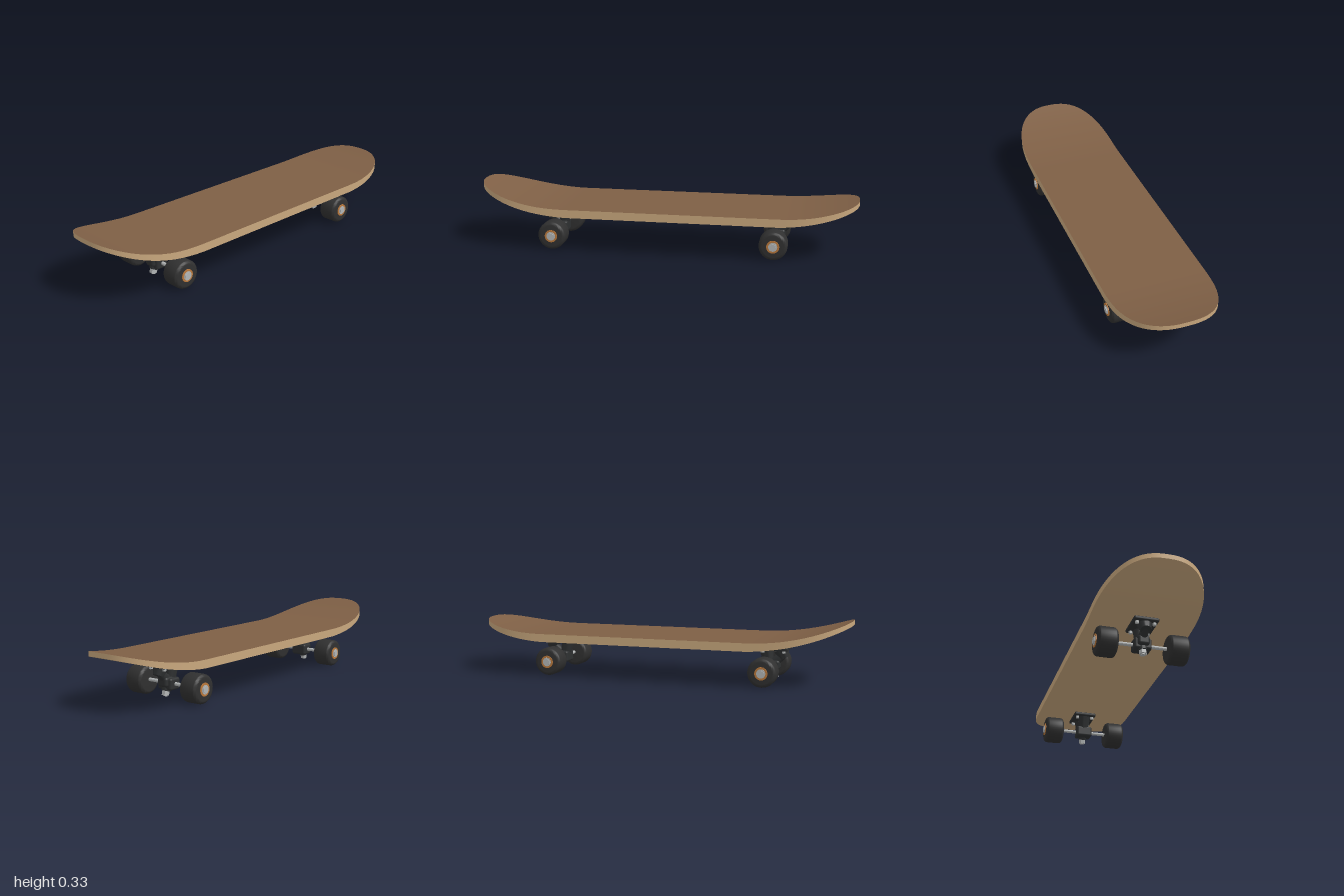
import * as THREE from 'three';
import { RoundedBoxGeometry } from 'three/addons/geometries/RoundedBoxGeometry.js';
import { toCreasedNormals } from 'three/addons/utils/BufferGeometryUtils.js';

const paint = (name, color) => {
  const m = new THREE.MeshStandardMaterial({ color });
  m.name = name;
  return m;
};

// Surface through rows x cols points given by at(row, col)
function gridSurface(rows, cols, at) {
  const pos = [], index = [];
  for (let i = 0; i < rows; i++) {
    for (let j = 0; j < cols; j++) {
      pos.push(...at(i, j));
      if (i < rows - 1 && j < cols - 1) {
        const a = i * cols + j, c = a + cols;
        index.push(a, a + 1, c, a + 1, c + 1, c);
      }
    }
  }
  const g = new THREE.BufferGeometry();
  g.setAttribute('position', new THREE.Float32BufferAttribute(pos, 3));
  g.setIndex(index);
  g.computeVertexNormals();
  return g;
}

export function createModel() {
  const model = new THREE.Group();
  const grip = paint('brown grip', 0x7e5f45);
  const wood = paint('light wood', 0xc8a77d);
  const black = paint('black metal', 0x2e3031);
  const rubber = paint('black rubber', 0x303030);
  const steel = paint('steel', 0xb2b5b5);
  const bronze = paint('orange bearing', 0xb9783c);

  const add = (parent, name, geometry, material, x = 0, y = 0, z = 0) => {
    const mesh = new THREE.Mesh(geometry, material);
    mesh.name = name;
    mesh.position.set(x, y, z);
    parent.add(mesh);
    return mesh;
  };
  // Cylinder between two points in a truck's xy plane
  const rod = (parent, name, material, a, b, r1, r2 = r1, sides = 24) => {
    const from = new THREE.Vector3(...a), to = new THREE.Vector3(...b);
    const dir = to.clone().sub(from);
    const geo = toCreasedNormals(new THREE.CylinderGeometry(r2, r1, dir.length(), sides), 0.7);
    const mesh = add(parent, name, geo, material);
    mesh.position.copy(from).add(to).multiplyScalar(0.5);
    mesh.quaternion.setFromUnitVectors(new THREE.Vector3(0, 1, 0), dir.normalize());
  };

  // Deck outline stations: straight middle, superellipse ends
  const half = [[0, 0.258], [0.3, 0.258], [0.5, 0.258], [0.55, 0.258]];
  for (let k = 0; k <= 24; k++) {
    const a = (k / 24) * Math.PI / 2;
    half.push([0.6 + 0.4 * Math.sin(a) ** 0.8, 0.258 * Math.max(0, Math.cos(a)) ** 0.8]);
  }
  const stations = [...half.slice(1).reverse().map(([x, w]) => [-x, w]), ...half];
  // Kicked ends, thinning toward the tips
  const bend = (x) => Math.max(0, x < 0 ? (-x - 0.5) / 0.5 : (x - 0.6) / 0.4);
  const topY = (x) => 0.225 + (x < 0 ? 0.102 : 0.058) * bend(x) ** 2;
  const bottomY = (x) => topY(x) - 0.042 + 0.019 * bend(x);

  const cols = 13, span = (j) => (j / (cols - 1)) * 2 - 1;
  const deck = new THREE.Group();
  deck.name = 'deck';
  model.add(deck);
  add(deck, 'deckTop', gridSurface(stations.length, cols, (i, j) => {
    const [x, w] = stations[i];
    return [x, topY(x), w * span(j)];
  }), grip);
  add(deck, 'deckUnderside', gridSurface(stations.length, cols, (i, j) => {
    const [x, w] = stations[i];
    return [x, bottomY(x), -w * span(j)];
  }), wood);
  const rim = [
    ...[...stations].reverse(),
    ...stations.slice(1).map(([x, w]) => [x, -w]),
  ];
  add(deck, 'deckEdge', gridSurface(rim.length, 2, (i, j) => {
    const [x, z] = rim[i];
    return [x, j ? topY(x) : bottomY(x), z];
  }), wood);

  // Wheel profile with rounded shoulders, turned about its axle
  const profile = [new THREE.Vector2(0, -0.05)];
  for (const side of [-1, 1]) {
    for (let k = 0; k <= 6; k++) {
      const a = (side < 0 ? k - 6 : k) / 6 * Math.PI / 2;
      profile.push(new THREE.Vector2(0.055 + 0.018 * Math.cos(a), side * 0.032 + 0.018 * Math.sin(a)));
    }
  }
  profile.push(new THREE.Vector2(0, 0.05));
  const wheelGeo = toCreasedNormals(new THREE.LatheGeometry(profile, 40), 0.6);

  // One truck; local +x points to the nearest tip
  function makeTruck(name) {
    const truck = new THREE.Group();
    truck.name = name;
    add(truck, 'basePlate', new RoundedBoxGeometry(0.156, 0.019, 0.124, 3, 0.007), black, 0.022, 0.173, 0);
    for (const x of [-0.033, 0.077]) {
      for (const z of [-0.043, 0.043]) {
        rod(truck, 'mountingNut', steel, [x, 0.151, z], [x, 0.166, z], 0.01, 0.01, 6);
      }
    }
    // Pivot cup and the arm joining it to the hanger
    rod(truck, 'pivotCup', black, [0.076, 0.122, 0], [0.055, 0.166, 0], 0.026, 0.038);
    rod(truck, 'pivotArm', black, [0.0, 0.08, 0], [0.072, 0.142, 0], 0.027, 0.02);
    // Hanger body and axle
    add(truck, 'hanger', new RoundedBoxGeometry(0.07, 0.06, 0.088, 4, 0.012), black, 0, 0.075, 0);
    add(truck, 'hangerYoke', new RoundedBoxGeometry(0.08, 0.05, 0.06, 4, 0.014), black, 0.012, 0.086, 0);
    rod(truck, 'axle', steel, [0, 0.075, -0.232], [0, 0.075, 0.232], 0.009);
    // Kingpin with bushings and lock nut
    rod(truck, 'upperBushing', black, [-0.01, 0.1, 0], [-0.022, 0.165, 0], 0.028, 0.034);
    rod(truck, 'lowerBushing', black, [0.022, 0.038, 0], [0.012, 0.07, 0], 0.021, 0.026);
    rod(truck, 'kingpin', steel, [0.027, 0.013, 0], [0.02, 0.045, 0], 0.01);
    rod(truck, 'kingpinNut', steel, [0.026, 0.018, 0], [0.022, 0.038, 0], 0.019, 0.019, 6);

    for (const side of [-1, 1]) {
      const wheel = new THREE.Group();
      wheel.name = 'wheel';
      wheel.position.set(0, 0.073, side * 0.176);
      wheel.rotation.x = side * Math.PI / 2;
      truck.add(wheel);
      add(wheel, 'tyre', wheelGeo, rubber);
      rod(wheel, 'bearingRing', bronze, [0, 0.048, 0], [0, 0.054, 0], 0.033, 0.033, 32);
      rod(wheel, 'bearingCap', steel, [0, 0.05, 0], [0, 0.056, 0], 0.023, 0.023, 32);
      rod(wheel, 'axleNut', steel, [0, 0.05, 0], [0, 0.06, 0], 0.018, 0.018, 6);
    }
    return truck;
  }
  const rightEnd = makeTruck('frontTruck');
  rightEnd.position.x = 0.575;
  const leftEnd = makeTruck('rearTruck');
  leftEnd.position.x = -0.58;
  leftEnd.rotation.y = Math.PI;
  model.add(rightEnd, leftEnd);
  return model;
}
